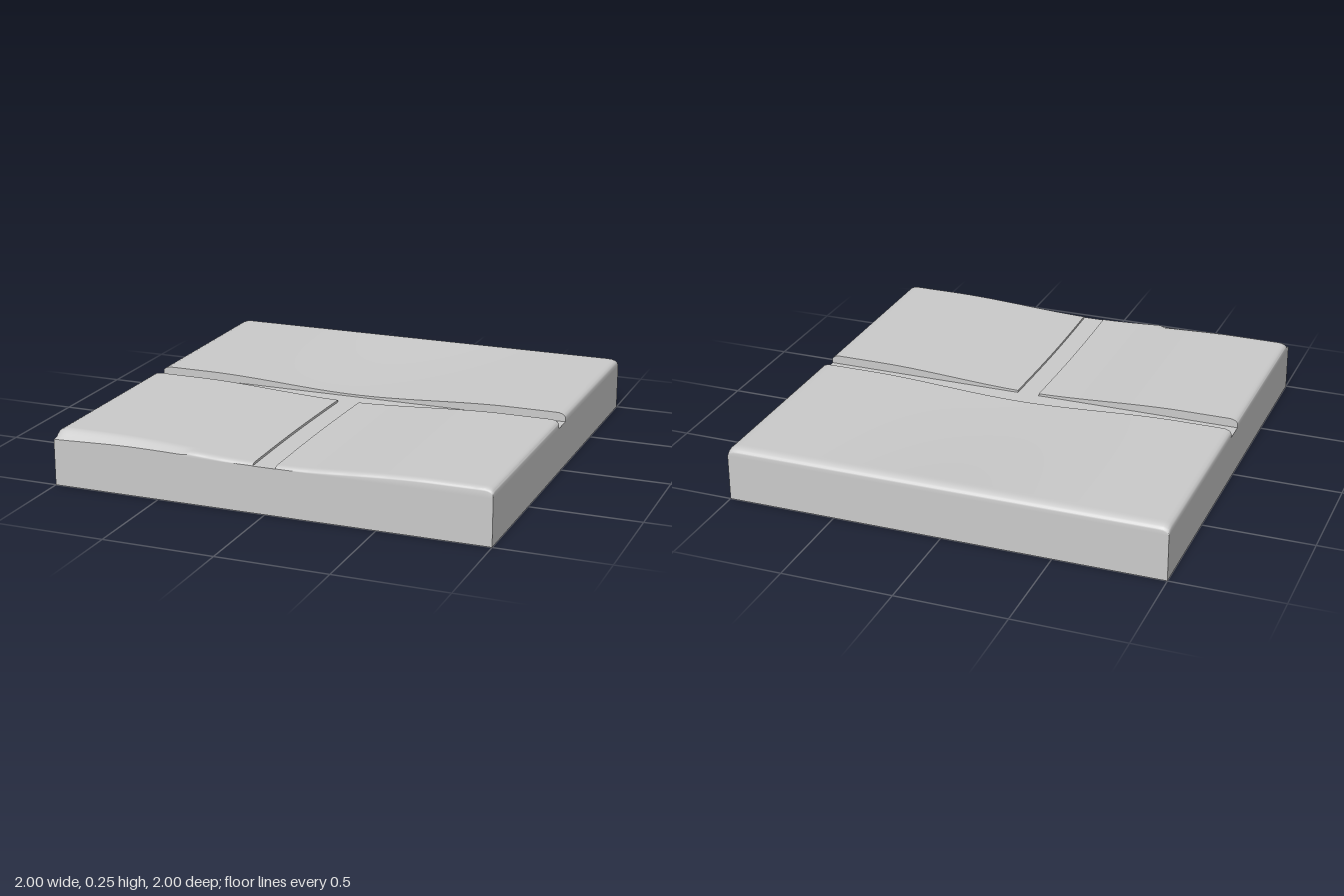
import * as THREE from 'three';
import { toCreasedNormals } from 'three/addons/utils/BufferGeometryUtils.js';

const FLOOR = 0.21; // groove floor height
const TOP = 0.25;

// Drop of a worn, rounded edge at distance d from the rim
function rounded(d, width, depth) {
  if (d >= width) return 0;
  const t = 1 - d / width;
  return depth * (1 - Math.sqrt(Math.max(0, 1 - t * t)));
}

// Height of the worn upper surface
function surfaceHeight(x, z) {
  // shallow dip along the middle, fading out towards the back
  const across = Math.max(0, 1 - Math.abs(x) / 0.75);
  const fade = z > 0 ? 1 : Math.max(0, 1 - (z * z) / 0.9);
  let y = TOP - 0.03 * across * across * (3 - 2 * across) * fade;
  // rounded outer rims
  y -= rounded(1 - Math.abs(x), 0.04, 0.022);
  y -= rounded(1 + z, 0.04, 0.022);
  // front rim, with a chipped bevel on its right-hand part
  const chip = THREE.MathUtils.clamp((-0.36 - x) / 0.64, 0, 1);
  if (x < -0.36) y -= (0.016 + 0.024 * chip) * Math.max(0, 1 - (1 - z) / 0.045);
  else y -= rounded(1 - z, 0.025, 0.014);
  return Math.max(y, FLOOR + 0.001);
}

// Raised slab: a box with denser divisions near its rims and a worn top
function makeSlab(name, x0, x1, z0, z1, material, bow = 0) {
  const geometry = new THREE.BoxGeometry(1, 1, 1, 40, 1, 40);
  const p = geometry.attributes.position;
  const ease = (t) => 0.5 + 0.5 * Math.sin(Math.PI * t);
  for (let i = 0; i < p.count; i++) {
    const z = THREE.MathUtils.lerp(z0, z1, ease(p.getZ(i)));
    // the inner side edge bends slightly along its length
    const shift = bow * Math.sin((Math.PI * (z - z0)) / (z1 - z0));
    const left = x0 > -1 ? x0 + shift : x0;
    const right = x1 < 1 ? x1 + shift : x1;
    const x = THREE.MathUtils.lerp(left, right, ease(p.getX(i)));
    p.setXYZ(i, x, p.getY(i) > 0 ? surfaceHeight(x, z) : FLOOR, z);
  }
  const mesh = new THREE.Mesh(toCreasedNormals(geometry, 0.6), material);
  mesh.name = name;
  return mesh;
}

export function createModel() {
  const group = new THREE.Group();
  group.name = 'floorTile';
  const material = new THREE.MeshStandardMaterial({ color: 0xcccccc });

  // Square base, whose top is the floor of the grooves
  const base = new THREE.Mesh(new THREE.BoxGeometry(2, FLOOR, 2), material);
  base.name = 'base';
  base.position.y = FLOOR / 2;
  group.add(base);

  // One wide slab behind the cross groove, two square slabs in front
  group.add(
    makeSlab('backSlab', -1, 1, -1, -0.055, material),
    makeSlab('frontRightSlab', -1, -0.053, 0.05, 1, material, -0.007),
    makeSlab('frontLeftSlab', 0.05, 1, 0.05, 1, material, -0.007),
  );
  return group;
}
